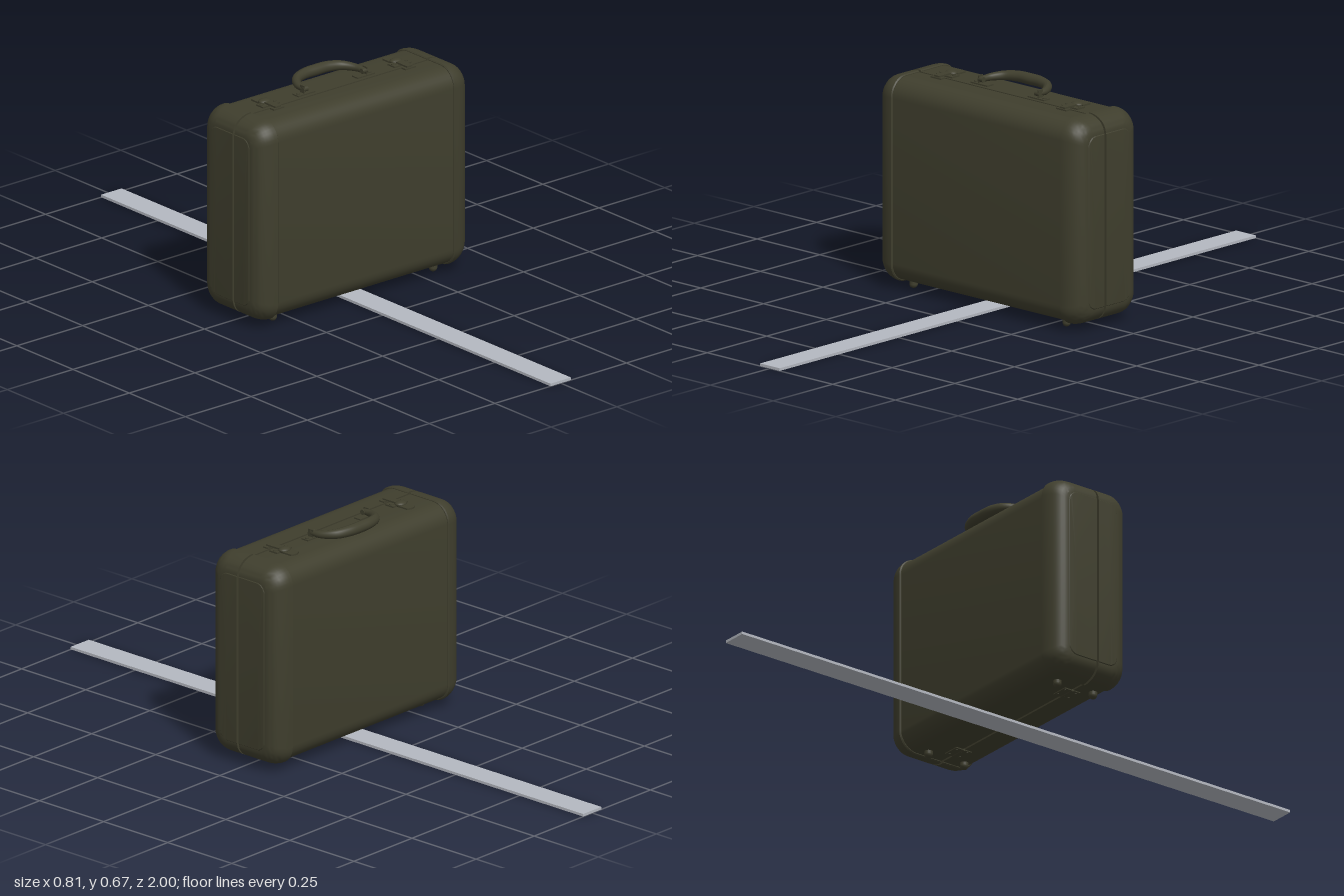
import * as THREE from 'three';
import { toCreasedNormals } from 'three/addons/utils/BufferGeometryUtils.js';

const SEAM = 0.017, GAP = 0.0035;

// Half of the case's rounded cross-section in the YZ plane; s = 1 front, -1 back.
function section(inset, s) {
  const y0 = 0.016 + inset, y1 = 0.635 - inset;
  const zo = s * (0.137 - inset), zs = SEAM + s * GAP, r = 0.06 - 0.6 * inset;
  const pts = [[y1, zs]];
  for (let i = 0; i <= 8; i++) {
    const a = (i / 8) * Math.PI / 2;
    pts.push([y1 - r + r * Math.cos(a), zo - s * r + s * r * Math.sin(a)]);
  }
  for (let i = 0; i <= 8; i++) {
    const a = (i / 8) * Math.PI / 2;
    pts.push([y0 + r - r * Math.sin(a), zo - s * r + s * r * Math.cos(a)]);
  }
  pts.push([y0, zs]);
  return s > 0 ? pts : pts.reverse();
}

// Loft of cross-sections along increasing x, closed at both ends.
function loft(profile, s) {
  const rings = profile.map(([x, inset]) => section(inset, s).map(([y, z]) => [x, y, z]));
  const pos = [], n = rings[0].length;
  const tri = (...p) => p.forEach((v) => pos.push(...v));
  for (let k = 0; k < rings.length - 1; k++) {
    const a = rings[k], b = rings[k + 1];
    for (let i = 0; i < n; i++) {
      const j = (i + 1) % n;
      tri(a[i], a[j], b[j]);
      tri(a[i], b[j], b[i]);
    }
  }
  const first = rings[0], last = rings[rings.length - 1];
  for (let i = 0; i < n; i++) {
    const j = (i + 1) % n;
    tri([first[0][0], 0.325, s * 0.06], first[j], first[i]);
    tri([last[0][0], 0.325, s * 0.06], last[i], last[j]);
  }
  const g = new THREE.BufferGeometry();
  g.setAttribute('position', new THREE.Float32BufferAttribute(pos, 3));
  return toCreasedNormals(g, 0.6);
}

export function createModel() {
  const model = new THREE.Group();
  model.name = 'suitcase';
  const olive = new THREE.MeshStandardMaterial({ color: 0x3f3e2d });
  olive.name = 'dark olive';
  const grey = new THREE.MeshStandardMaterial({ color: 0xb4b8c0 });
  grey.name = 'pale grey';

  const add = (parent, name, geo, x = 0, y = 0, z = 0, mat = olive) => {
    const m = new THREE.Mesh(geo, mat);
    m.name = name;
    m.position.set(x, y, z);
    parent.add(m);
    return m;
  };
  const box = (w, h, d) => new THREE.BoxGeometry(w, h, d);
  const disc = (r, h) => new THREE.CylinderGeometry(r, r, h, 20);

  // Two shells separated by a narrow gap, with rounded, slightly proud end caps
  const cap = [[0.334, 0.003], [0.337, 0]];
  for (let i = 1; i <= 10; i++) {
    const a = (i / 10) * Math.PI / 2;
    cap.push([0.337 + 0.066 * Math.sin(a), 0.05 * (1 - Math.cos(a))]);
  }
  cap.push([0.405, 0.052]);
  const capLeft = cap.map(([x, i]) => [-x, i]).reverse();
  for (const [s, side] of [[1, 'front'], [-1, 'back']]) {
    add(model, side + 'Shell', loft([[-0.336, 0.005], [0.336, 0.005]], s));
    add(model, side + 'LeftEndCap', loft(cap, s));
    add(model, side + 'RightEndCap', loft(capLeft, s));
  }

  // Carrying handle: arched tube, thicker in the middle
  const handle = new THREE.Group();
  handle.name = 'handle';
  model.add(handle);
  const path = new THREE.CatmullRomCurve3([
    [-0.114, 0.645, -0.008], [-0.11, 0.646, -0.04], [-0.085, 0.649, -0.075],
    [-0.045, 0.651, -0.09], [0, 0.651, -0.092], [0.045, 0.651, -0.09],
    [0.085, 0.649, -0.075], [0.11, 0.646, -0.04], [0.114, 0.645, -0.008],
  ].map((p) => new THREE.Vector3(...p)));
  const SEG = 48, RAD = 14;
  const grip = new THREE.TubeGeometry(path, SEG, 0.017, RAD);
  const p = grip.attributes.position, v = new THREE.Vector3();
  for (let i = 0; i < p.count; i++) {
    const t = Math.floor(i / (RAD + 1)) / SEG;
    const c = path.getPointAt(t);
    v.fromBufferAttribute(p, i).sub(c).multiplyScalar(0.5 + 0.5 * Math.sin(Math.PI * t)).add(c);
    p.setXYZ(i, v.x, v.y, v.z);
  }
  grip.computeVertexNormals();
  add(handle, 'grip', grip);

  for (const s of [-1, 1]) {
    // Handle mounts
    add(handle, 'mountPlate', box(0.066, 0.004, 0.026), s * 0.113, 0.632, -0.01);
    add(handle, 'mountPost', box(0.004, 0.026, 0.018), s * 0.119, 0.644, -0.01);
    add(handle, 'mountScrew', disc(0.006, 0.004), s * 0.136, 0.635, -0.01);
    const pin = add(handle, 'pivotPin', disc(0.008, 0.018), s * 0.113, 0.645, -0.008);
    pin.rotation.z = Math.PI / 2;

    // Latch
    const latch = new THREE.Group();
    latch.name = 'latch';
    latch.position.set(s * 0.25, 0.632, 0);
    model.add(latch);
    add(latch, 'basePlate', box(0.064, 0.005, 0.032), 0, 0, -0.01);
    add(latch, 'lockPlate', box(0.034, 0.006, 0.06), 0, 0, -0.036);
    const tip = add(latch, 'lockPlateTip', disc(0.017, 0.006), 0, 0, -0.06);
    tip.scale.z = 0.7;
    add(latch, 'catchPlate', box(0.04, 0.005, 0.018), 0, 0, 0.031);
    add(latch, 'hasp', box(0.022, 0.005, 0.06), 0, 0.005, 0.006);
    const knob = add(latch, 'lever', new THREE.SphereGeometry(0.02, 20, 12), 0, 0.004, -0.026);
    knob.scale.set(1, 0.4, 0.8);
    for (const e of [-1, 1]) add(latch, 'screw', disc(0.005, 0.004), e * 0.025, 0.003, -0.01);

    // Hinge across the seam underneath
    const hinge = new THREE.Group();
    hinge.name = 'hinge';
    hinge.position.set(s * 0.257, 0.02, SEAM);
    model.add(hinge);
    for (const e of [-1, 1]) {
      add(hinge, 'leaf', box(0.054, 0.004, 0.024), 0, 0, e * 0.016);
      for (const k of [-1, 1]) add(hinge, 'screw', disc(0.004, 0.003), k * 0.017, -0.002, e * 0.019);
    }
    const barrel = add(hinge, 'barrel', disc(0.004, 0.054));
    barrel.rotation.z = Math.PI / 2;

    // Round feet
    for (const z of [0.075, -0.055]) {
      add(model, 'foot', new THREE.SphereGeometry(0.0125, 18, 12), s * 0.305, 0.0125, z);
      add(model, 'footStem', disc(0.0125, 0.012), s * 0.305, 0.018, z);
    }
  }

  // Long flat strip on the ground beneath the case
  add(model, 'groundStrip', box(0.078, 0.008, 2), 0, 0.004, 0, grey);
  return model;
}
